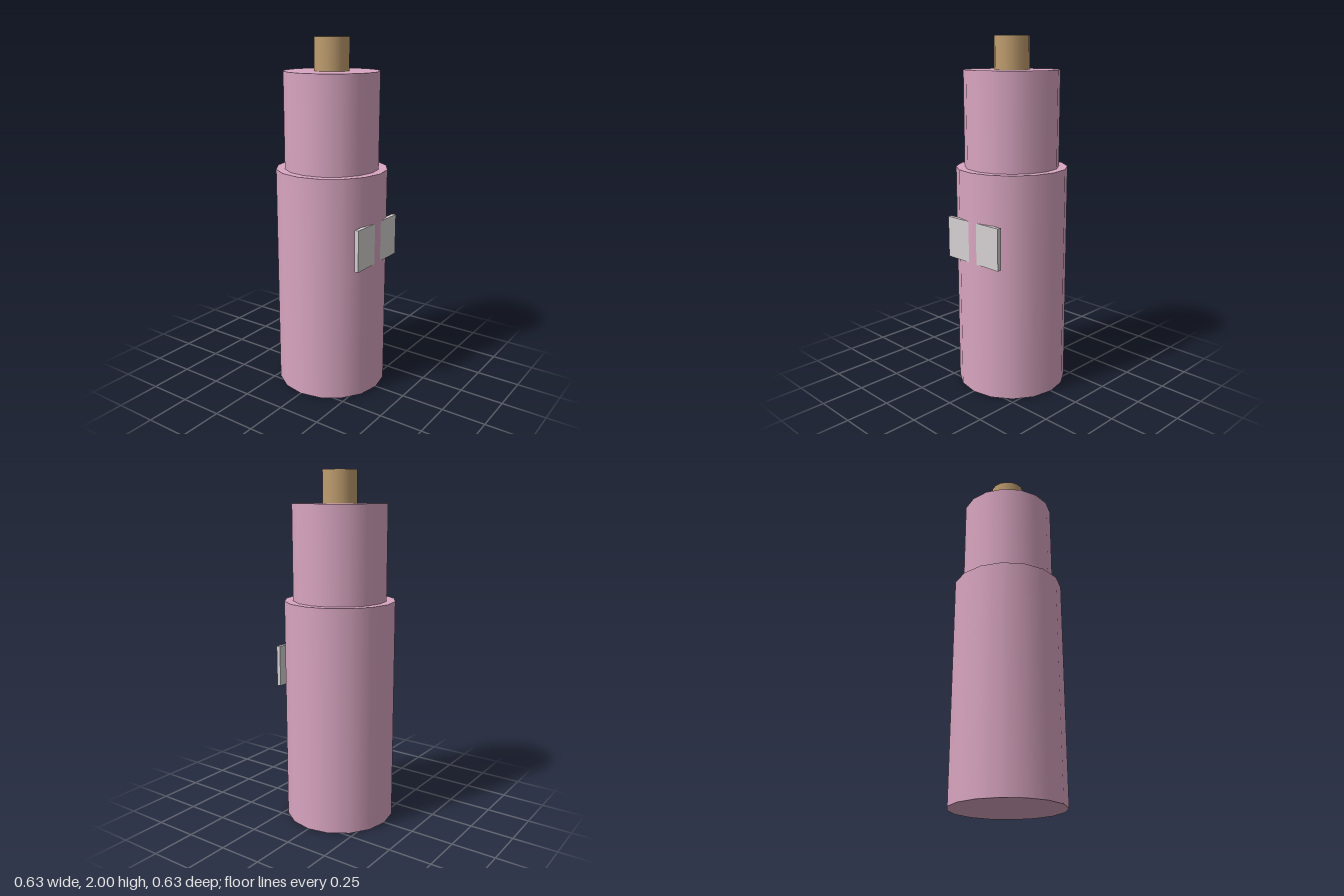
import * as THREE from 'three';

export function createModel() {
  const model = new THREE.Group();
  const mat = (name, color) => {
    const m = new THREE.MeshStandardMaterial({ color });
    m.name = name;
    return m;
  };
  const pink = mat('pink', 0xd9a6c1);
  const tan = mat('tan', 0xc09e70);
  const grey = mat('pale grey', 0xd6d0d1);

  const add = (name, geometry, material, y, z = 0) => {
    const mesh = new THREE.Mesh(geometry, material);
    mesh.name = name;
    mesh.position.set(0, y, z);
    model.add(mesh);
  };

  // Stacked sixteen-sided cylinders: name, radius, bottom, top, material
  const tiers = [
    ['body', 0.316, 0, 1.285, pink],
    ['neck', 0.267, 1.285, 1.82, pink],
    ['tip', 0.098, 1.82, 2, tan],
  ];
  for (const [name, r, y0, y1, material] of tiers) {
    add(name, new THREE.CylinderGeometry(r, r, y1 - y0, 16), material, (y0 + y1) / 2);
  }

  // Front plate; the body's front ridge pokes through its middle
  add('frontPlate', new THREE.BoxGeometry(0.396, 0.235, 0.024), grey, 0.894, 0.298);

  return model;
}
